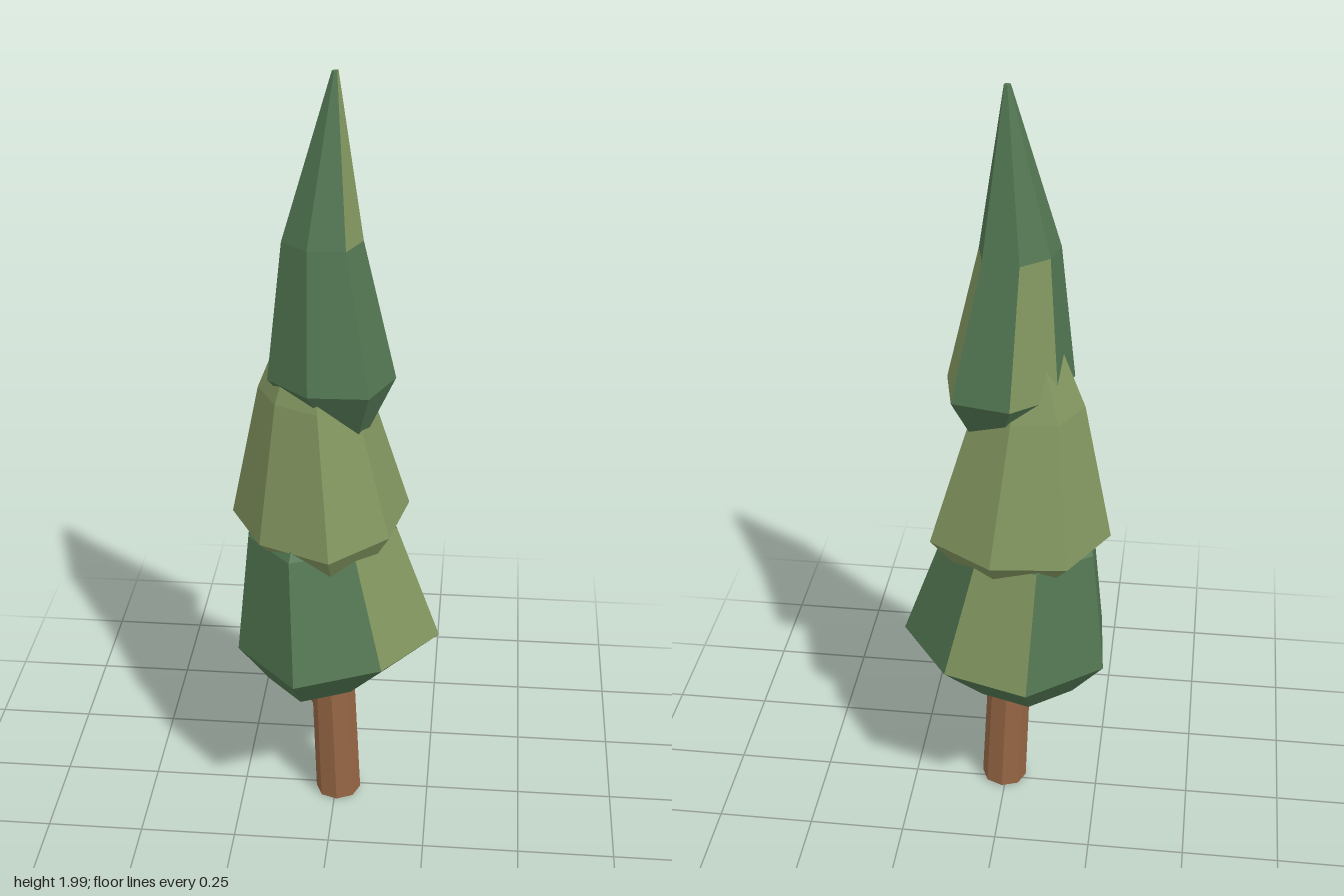
import * as THREE from 'three';

const mat = (name, color) => {
  const m = new THREE.MeshStandardMaterial({ color, flatShading: true });
  m.name = name;
  return m;
};

// Faceted solid from scaled copies of one outline; ring = [y, scale, shiftX, shiftZ].
// accents lists "band:side" faces that take the second material.
function foliageTier(name, outline, rings, materials, accents = []) {
  const n = outline.length;
  const loops = rings.map(([y, s, dx = 0, dz = 0]) =>
    outline.map(([x, z]) => [x * s + dx, y, z * s + dz]));
  const faces = [[], []];
  for (let r = 0; r < loops.length - 1; r++) {
    for (let i = 0; i < n; i++) {
      const j = (i + 1) % n;
      const a = loops[r][i], b = loops[r][j], c = loops[r + 1][i], d = loops[r + 1][j];
      faces[accents.includes(`${r}:${i}`) ? 1 : 0].push(a, c, b, b, c, d);
    }
  }
  // Close the bottom and the tip
  const low = loops[0], high = loops[loops.length - 1];
  for (let i = 1; i < n - 1; i++) {
    faces[0].push(low[0], low[i], low[i + 1], high[0], high[i + 1], high[i]);
  }
  const geo = new THREE.BufferGeometry();
  geo.setAttribute('position', new THREE.Float32BufferAttribute(faces.flat(2), 3));
  geo.addGroup(0, faces[0].length, 0);
  if (faces[1].length) geo.addGroup(faces[0].length, faces[1].length, 1);
  geo.computeVertexNormals();
  const mesh = new THREE.Mesh(geo, materials);
  mesh.name = name;
  return mesh;
}

// Tapered round piece between two points
function limb(name, from, to, r0, r1, sides, material) {
  const a = new THREE.Vector3(...from), b = new THREE.Vector3(...to);
  const dir = b.clone().sub(a);
  const mesh = new THREE.Mesh(new THREE.CylinderGeometry(r1, r0, dir.length(), sides), material);
  mesh.position.copy(a).add(b).multiplyScalar(0.5);
  mesh.quaternion.setFromUnitVectors(new THREE.Vector3(0, 1, 0), dir.normalize());
  mesh.name = name;
  return mesh;
}

export function createModel() {
  const tree = new THREE.Group();
  tree.name = 'tree';
  const green = mat('pine green', 0x527652);
  const olive = mat('olive green', 0x82965f);
  const bark = mat('bark brown', 0x966645);

  // Leaning trunk with short branch stubs under the foliage
  tree.add(
    limb('trunk', [0.007, 0.008, 0.018], [-0.017, 0.6, 0.018], 0.06, 0.055, 8, bark),
    limb('leftBranch', [0.01, 0.31, 0], [0.09, 0.42, 0], 0.025, 0.018, 5, bark),
    limb('rightBranch', [-0.04, 0.3, 0.01], [-0.13, 0.42, 0.01], 0.03, 0.02, 5, bark),
  );

  // Lower tier
  tree.add(foliageTier('lowerFoliage',
    [[0.27, -0.01], [0.13, 0.175], [-0.085, 0.272], [-0.247, 0.1], [-0.267, -0.13], [-0.083, -0.275], [0.135, -0.205]],
    [[0.38, 0.58, -0.03], [0.5, 1], [0.82, 0.72, -0.04], [1.15, 0.03, -0.04]],
    [green, olive], ['1:0', '1:5']));

  // Middle tier
  tree.add(foliageTier('middleFoliage',
    [[0.18, -0.11], [0.14, 0.085], [0.0, 0.225], [-0.18, 0.145], [-0.27, -0.025], [-0.175, -0.2], [0.015, -0.22]],
    [[0.72, 0.55], [0.84, 1], [1.2, 0.6, -0.035], [1.6, 0.03, -0.03, -0.01]],
    [olive]));

  // Upper tier and spire
  tree.add(foliageTier('upperFoliage',
    [[0.147, 0.01], [0.09, 0.14], [-0.058, 0.145], [-0.165, 0.05], [-0.135, -0.075], [-0.028, -0.165], [0.117, -0.133]],
    [[1.1, 0.4, 0.02], [1.25, 1], [1.6, 0.62, -0.026], [2, 0.05, -0.003, -0.007]],
    [green, olive], ['1:4', '1:6', '2:0']));

  return tree;
}
